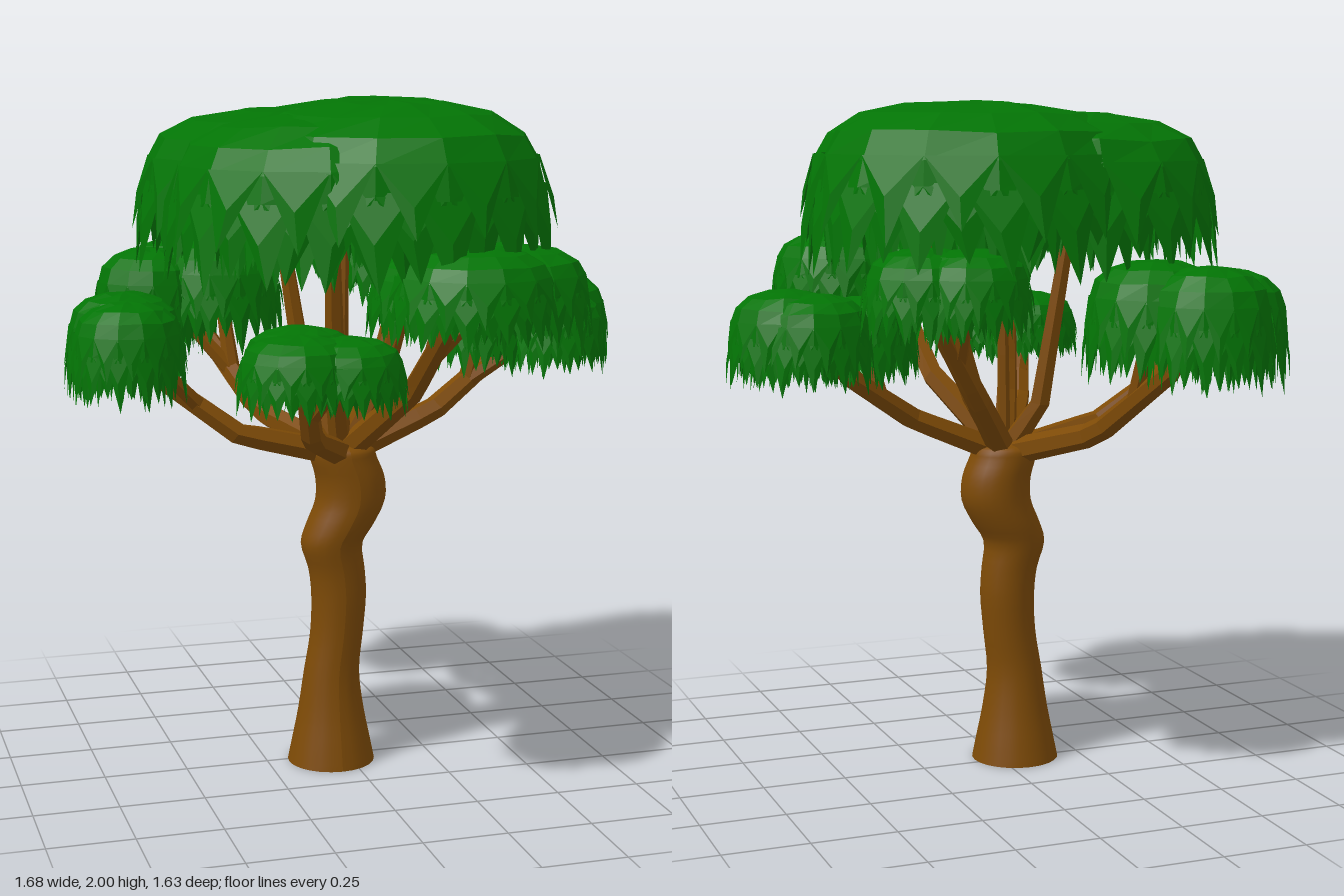
import * as THREE from 'three';

const bark = new THREE.MeshStandardMaterial({ color: 0x7d4a06 });
bark.name = 'bark brown';
const leaf = new THREE.MeshStandardMaterial({ color: 0x037405, flatShading: true, side: THREE.DoubleSide });
leaf.name = 'leaf green';

let seed = 7;
const rand = () => (seed = (seed * 16807) % 2147483647) / 2147483647;
const jitter = (amount) => (rand() - 0.5) * 2 * amount;

// One leafy lobe: a squashed dome with rows of hanging pointed leaves
function addLobe(out, [cx, cz, radius, top, height], sides) {
  const turn = rand() * Math.PI;
  const point = (i, r, drop) => {
    const a = turn + (i / sides) * Math.PI * 2;
    return [cx + Math.cos(a) * r * radius, top - drop * height, cz + Math.sin(a) * r * radius];
  };
  const tri = (a, b, c) => out.push(...a, ...b, ...c);
  const ring = (r, drop, wobble) => {
    const pts = [];
    for (let i = 0; i < sides; i++) pts.push(point(i, r * (1 + jitter(wobble)), drop + jitter(wobble)));
    return pts;
  };

  // Dome
  const rings = [[0.34, 0.02], [0.65, 0.075], [0.86, 0.18], [0.95, 0.33], [0.98, 0.5]]
    .map(([r, d]) => ring(r, d, 0.012));
  const crown = [cx, top, cz];
  for (let i = 0; i < sides; i++) {
    const j = (i + 1) % sides;
    tri(crown, rings[0][j], rings[0][i]);
    for (let k = 0; k + 1 < rings.length; k++) {
      const u = rings[k], l = rings[k + 1];
      tri(u[i], u[j], l[j]);
      tri(u[i], l[j], l[i]);
    }
  }

  // Rows of leaves: start radius, start drop, tip radius, tip drop, offset
  const rows = [
    [0.95, 0.31, 1.05, 0.76, 0], [0.975, 0.46, 1.05, 1.0, 0.5], [0.97, 0.48, 1.0, 0.94, 0],
    [0.8, 0.25, 0.85, 0.97, 0.5], [0.62, 0.2, 0.66, 0.88, 0], [0.4, 0.15, 0.44, 0.78, 0.5],
  ];
  for (const [r0, d0, r1, d1, shift] of rows) {
    for (let i = 0; i < sides; i++) {
      const a = point(i + shift, r0, d0), b = point(i + 1 + shift, r0, d0);
      const tip = point(i + 0.5 + shift + jitter(0.15), r1, d1 + jitter(0.06));
      // a raised point in the middle folds each leaf
      const fold = point(i + 0.5 + shift, (r0 + r1) / 2 + 0.02, (d0 + d1) / 2);
      tri(a, b, fold);
      tri(a, fold, tip);
      tri(fold, b, tip);
    }
  }
}

function foliage(name, lobes, sides) {
  const out = [];
  lobes.forEach((lobe) => addLobe(out, lobe, sides));
  const geometry = new THREE.BufferGeometry();
  geometry.setAttribute('position', new THREE.Float32BufferAttribute(out, 3));
  geometry.computeVertexNormals();
  const mesh = new THREE.Mesh(geometry, leaf);
  mesh.name = name;
  return mesh;
}

// Tapering faceted limb along a polyline
function limb(name, points, r0, r1) {
  const sides = 6;
  const path = new THREE.CurvePath();
  const v = points.map((p) => new THREE.Vector3(...p));
  for (let i = 0; i + 1 < v.length; i++) path.add(new THREE.LineCurve3(v[i], v[i + 1]));
  const steps = (v.length - 1) * 4;
  const tube = new THREE.TubeGeometry(path, steps, 1, sides);
  const pos = tube.attributes.position;
  const p = new THREE.Vector3();
  for (let i = 0; i < pos.count; i++) {
    const t = Math.floor(i / (sides + 1)) / steps;
    const c = path.getPointAt(t);
    p.fromBufferAttribute(pos, i).sub(c).multiplyScalar(r0 + (r1 - r0) * t).add(c);
    pos.setXYZ(i, p.x, p.y, p.z);
  }
  const geometry = tube.toNonIndexed();
  geometry.computeVertexNormals();
  const mesh = new THREE.Mesh(geometry, bark);
  mesh.name = name;
  return mesh;
}

function trunk() {
  const group = new THREE.Group();
  group.name = 'trunk';
  // Smooth run through sections: height, centre x, radius
  const sections = new THREE.CatmullRomCurve3([
    [0, -0.055, 0.132], [0.06, -0.055, 0.12], [0.16, -0.055, 0.1], [0.28, -0.053, 0.084],
    [0.4, -0.037, 0.08], [0.52, -0.03, 0.083], [0.6, -0.037, 0.085], [0.68, -0.052, 0.093],
    [0.74, -0.025, 0.102], [0.81, 0.006, 0.105], [0.88, 0.005, 0.104], [0.94, -0.015, 0.1],
    [0.97, -0.02, 0.094], [0.99, -0.02, 0.05],
  ].map((s) => new THREE.Vector3(...s)));
  const rows = 39, sides = 24;
  const geometry = new THREE.CylinderGeometry(1, 1, 1, sides, rows, true);
  const pos = geometry.attributes.position;
  for (let i = 0; i < pos.count; i++) {
    const s = sections.getPoint(1 - Math.floor(i / (sides + 1)) / rows);
    pos.setXYZ(i, s.y + pos.getX(i) * s.z, s.x, 0.025 + pos.getZ(i) * s.z);
  }
  geometry.computeVertexNormals();
  const stem = new THREE.Mesh(geometry, bark);
  stem.name = 'trunkStem';
  const base = new THREE.Mesh(new THREE.CircleGeometry(0.132, sides).rotateX(Math.PI / 2), bark);
  base.position.set(-0.055, 0, 0.025);
  base.name = 'trunkBase';
  const tip = new THREE.Mesh(new THREE.CircleGeometry(0.05, sides).rotateX(-Math.PI / 2), bark);
  tip.position.set(-0.02, 0.99, 0.025);
  tip.name = 'trunkTop';
  group.add(stem, base, tip);
  return group;
}

export function createModel() {
  const model = new THREE.Group();
  model.name = 'tree';
  model.add(trunk());

  // Main canopy lobes: x, z, radius, top, height
  model.add(foliage('mainCanopy', [
    [0.13, -0.14, 0.47, 2.0, 0.48], [-0.14, -0.11, 0.445, 1.97, 0.45],
    [0.06, 0.23, 0.455, 2.0, 0.5], [-0.13, 0.18, 0.43, 1.965, 0.46],
  ], 14));

  // Lower clumps, each with the elbow of its branch
  const clumps = [
    ['leftClump', [[0.6, -0.07, 0.172, 1.46, 0.27], [0.66, -0.02, 0.17, 1.47, 0.28],
      [0.62, 0.11, 0.148, 1.43, 0.24], [0.43, 0.01, 0.16, 1.44, 0.25]], [0.27, 1.07, 0.02]],
    ['rightClump', [[-0.66, -0.01, 0.17, 1.455, 0.3], [-0.67, 0.09, 0.16, 1.44, 0.29]], [-0.34, 1.03, 0.04]],
    ['frontLeftClump', [[0.19, 0.57, 0.228, 1.62, 0.26], [0.34, 0.46, 0.222, 1.61, 0.26], [0.16, 0.46, 0.22, 1.6, 0.25]], [0.13, 1.17, 0.25]],
    ['frontRightClump', [[-0.29, 0.54, 0.166, 1.39, 0.21], [-0.16, 0.55, 0.16, 1.38, 0.2], [-0.26, 0.45, 0.16, 1.4, 0.2]], [-0.2, 1.06, 0.35]],
    ['backRightClump', [[-0.37, -0.63, 0.18, 1.55, 0.34], [-0.49, -0.5, 0.175, 1.53, 0.33], [-0.28, -0.48, 0.2, 1.56, 0.33]], [-0.2, 1.04, -0.26]],
    ['backLeftClump', [[0.37, -0.38, 0.172, 1.6, 0.25], [0.26, -0.45, 0.165, 1.6, 0.25]], [0.15, 1.15, -0.2]],
  ];
  const branches = new THREE.Group();
  branches.name = 'branches';
  model.add(branches);
  const heart = [-0.02, 0.95, 0.025];
  for (const [name, lobes, elbow] of clumps) {
    model.add(foliage(name, lobes, 13));
    const [x0, z0, , top0, h0] = lobes[0];
    const fork = [x0 * 0.84, top0 - h0 * 0.88, z0 * 0.84];
    branches.add(limb('lowerBranch', [heart, elbow, fork, [x0, top0 - 0.1, z0]], 0.042, 0.026));
    // twigs leave the branch between its elbow and its fork
    const start = elbow.map((e, k) => (e + fork[k]) / 2);
    for (const [x, z, , top] of lobes.slice(1)) {
      branches.add(limb('twig', [start, [x, top - 0.1, z]], 0.027, 0.016));
    }
  }

  // Upright branches that carry the main canopy: elbow, end
  const uprights = [
    [[0.08, 1.15, 0.08], [0.2, 1.7, 0.2]], [[0.1, 1.12, -0.05], [0.28, 1.7, -0.12]],
    [[-0.1, 1.1, -0.06], [-0.18, 1.7, -0.12]], [[-0.06, 1.15, 0.1], [-0.1, 1.7, 0.2]],
  ];
  for (const [elbow, end] of uprights) {
    branches.add(limb('upperBranch', [heart, elbow, end], 0.036, 0.02));
  }
  branches.add(limb('centreBranch', [heart, [-0.015, 1.3, 0.02], [-0.01, 1.75, 0.03]], 0.02, 0.012));
  return model;
}
